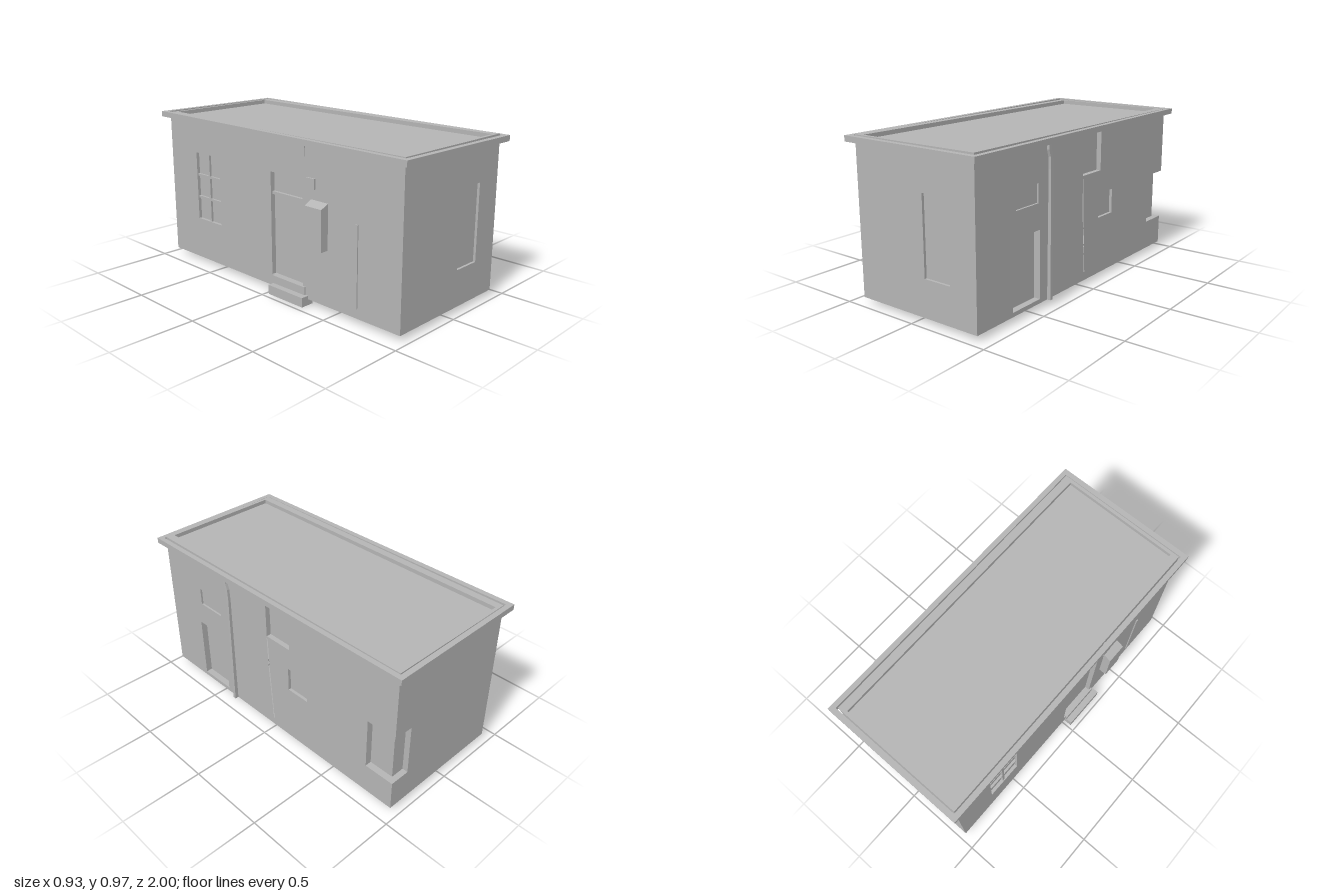
import * as THREE from 'three';

const plaster = new THREE.MeshStandardMaterial({ color: 0xb4b4b4, side: THREE.DoubleSide });
plaster.name = 'grey plaster';

// Wall faces and height limits
const LEFT = 0.425, RIGHT = -0.415, DEPTH = 0.96, BASE = 0.035, TOP = 0.935;

function add(parent, name, geo, x = 0, y = 0, z = 0) {
  const mesh = new THREE.Mesh(geo, plaster);
  mesh.name = name;
  mesh.position.set(x, y, z);
  parent.add(mesh);
  return mesh;
}

// Box given by its limits
function block(parent, name, x0, x1, y0, y1, z0, z1) {
  return add(parent, name, new THREE.BoxGeometry(x1 - x0, y1 - y0, z1 - z0),
    (x0 + x1) / 2, (y0 + y1) / 2, (z0 + z1) / 2);
}

const polygon = pts => new THREE.Shape(pts.map(p => new THREE.Vector2(...p)));
const rect = (a, b, c, d) => [[a, c], [b, c], [b, d], [a, d]];

// Wall sheet in its own frame: u across, v up, outward +z.
// Each recess is [name, u0, u1, v0, v1, depth]; slits are cut right through.
function wall(parent, name, outline, recesses, slits = []) {
  const group = new THREE.Group();
  group.name = name;
  parent.add(group);
  const shape = polygon(outline);
  for (const pts of slits) shape.holes.push(polygon(pts));
  for (const [part, u0, u1, v0, v1, d] of recesses) {
    shape.holes.push(polygon(rect(u0, u1, v0, v1)));
    const geo = new THREE.BoxGeometry(u1 - u0, v1 - v0, d);
    const index = Array.from(geo.index.array);
    index.splice(24, 6); // leave the outer side open
    geo.setIndex(index);
    geo.clearGroups();
    add(group, part, geo, (u0 + u1) / 2, (v0 + v1) / 2, -d / 2);
  }
  add(group, name + 'Sheet', new THREE.ShapeGeometry(shape));
  return group;
}

// Rectangular ring lying flat, from y0 to y1
function ring(parent, name, outer, inner, y0, y1) {
  const shape = polygon(rect(...outer));
  shape.holes.push(polygon(rect(...inner)));
  const geo = new THREE.ExtrudeGeometry(shape, { depth: y1 - y0, bevelEnabled: false });
  geo.rotateX(-Math.PI / 2).translate(0, y0, 0);
  return add(parent, name, geo);
}

function addCornerWindow(parent) {
  const y0 = 0.22, y1 = 0.54, h = y1 - y0, cy = (y0 + y1) / 2;
  const xi = 0.385, zi = -0.925, xe = 0.3, ze = -0.77;
  // Panes and end reveals
  const paneSide = add(parent, 'cornerWindowSidePane', new THREE.PlaneGeometry(ze - zi, h), xi, cy, (ze + zi) / 2);
  paneSide.rotation.y = Math.PI / 2;
  const paneBack = add(parent, 'cornerWindowBackPane', new THREE.PlaneGeometry(xi - xe, h), (xi + xe) / 2, cy, zi);
  paneBack.rotation.y = Math.PI;
  const sideReveal = add(parent, 'cornerWindowSideReveal', new THREE.PlaneGeometry(LEFT - xi, h), (LEFT + xi) / 2, cy, ze);
  sideReveal.rotation.y = Math.PI;
  const backReveal = add(parent, 'cornerWindowBackReveal', new THREE.PlaneGeometry(zi + DEPTH, h), xe, cy, (zi - DEPTH) / 2);
  backReveal.rotation.y = Math.PI / 2;
  // L-shaped sill and head
  const ell = polygon([[xe, DEPTH], [xe, -zi], [xi, -zi], [xi, -ze], [LEFT, -ze], [LEFT, DEPTH]]);
  for (const [name, y] of [['cornerWindowSill', y0], ['cornerWindowHead', y1]])
    add(parent, name, new THREE.ShapeGeometry(ell).rotateX(-Math.PI / 2), 0, y, 0);
}

export function createModel() {
  const model = new THREE.Group();
  model.name = 'house';

  // Front wall with tall shallow panel
  wall(model, 'frontWall', rect(RIGHT, LEFT, BASE, TOP),
    [['frontPanel', 0.07, 0.25, 0.255, 0.715, 0.015]]).position.z = DEPTH;

  // Back wall, notched for the corner window
  const back = wall(model, 'backWall', [[-LEFT, BASE], [-RIGHT, BASE], [-RIGHT, TOP], [-LEFT, TOP],
    [-LEFT, 0.54], [-0.3, 0.54], [-0.3, 0.22], [-LEFT, 0.22]], []);
  back.rotation.y = Math.PI;
  back.position.z = -DEPTH;

  // Left wall: u runs towards the back
  const left = wall(model, 'leftWall', [[-DEPTH, BASE], [DEPTH, BASE], [DEPTH, 0.22], [0.77, 0.22],
    [0.77, 0.54], [DEPTH, 0.54], [DEPTH, TOP], [-DEPTH, TOP]],
  [
    ['sideDoor', -0.675, -0.435, 0.06, 0.46, 0.04],
    ['sideDoorTransom', -0.645, -0.45, 0.61, 0.72, 0.012],
    ['highAlcove', -0.02, 0.17, 0.68, 0.92, 0.03],
    ['smallWindow', 0.155, 0.31, 0.39, 0.54, 0.018],
  ],
  [[[-0.022, 0.665], [-0.014, 0.66], [-0.008, 0.45], [0.014, 0.09], [0.009, 0.08], [-0.017, 0.45]]]);
  left.rotation.y = Math.PI / 2;
  left.position.x = LEFT;
  addCornerWindow(model);

  // Kinked drainpipe on the left wall
  const bend = [[-0.355, BASE], [-0.35, 0.78], [-0.354, 0.85], [-0.367, 0.89], [-0.367, 0.93]];
  const w = 0.011;
  const pipe = polygon([...bend.map(([u, v]) => [u + w, v]), ...bend.map(([u, v]) => [u - w, v]).reverse()]);
  const pipeGeo = new THREE.ExtrudeGeometry(pipe, { depth: 0.023, bevelEnabled: false });
  const pos = pipeGeo.attributes.position;
  for (let i = 0; i < pos.count; i++)
    if (pos.getZ(i) > 0.01) pos.setZ(i, 0.023 - 0.008 * pos.getY(i));
  pipeGeo.computeVertexNormals();
  add(left, 'drainpipe', pipeGeo);

  // Right wall: u runs towards the front
  const right = wall(model, 'rightWall', rect(-DEPTH, DEPTH, BASE, TOP), [
    ['paneWindow', -0.7, -0.47, 0.3, 0.735, 0.02],
    ['mainDoor', 0, 0.26, 0.105, 0.73, 0.03],
  ]);
  right.rotation.y = -Math.PI / 2;
  right.position.x = RIGHT;

  // Window bars: two columns, three rows
  block(right, 'windowUpright', -0.592, -0.578, 0.3, 0.735, -0.02, -0.006);
  for (const v of [0.445, 0.59])
    block(right, 'windowCrossbar', -0.7, -0.47, v - 0.007, v + 0.007, -0.02, -0.006);
  block(right, 'doorTransomBar', 0, 0.26, 0.595, 0.612, -0.03, -0.012);

  // Steps below the main door
  block(model, 'lowerStep', -0.465, -0.38, 0, 0.057, 0.02, 0.3);
  block(model, 'upperStep', -0.426, -0.385, 0.057, 0.105, 0.02, 0.28);

  // Meter cabinet with sloping top
  const cabinet = polygon([[-0.465, 0.365], [RIGHT, 0.365], [RIGHT, 0.63], [-0.465, 0.605]]);
  add(model, 'meterCabinet', new THREE.ExtrudeGeometry(cabinet, { depth: 0.125, bevelEnabled: false }), 0, 0, 0.327);

  // Small wall fittings
  block(model, 'junctionBox', -0.426, RIGHT, 0.69, 0.75, 0.295, 0.36);
  block(model, 'upperBracket', -0.421, RIGHT, 0.86, 0.93, 0.268, 0.282);
  block(model, 'wallStrip', -0.422, RIGHT, 0.09, 0.56, 0.655, 0.67);

  // Flat roof inside a low parapet
  const deck = add(model, 'roofDeck', new THREE.PlaneGeometry(0.84, 1.92), 0.005, 0.937, 0);
  deck.rotation.x = -Math.PI / 2;
  ring(model, 'parapet', [RIGHT, LEFT, -DEPTH, DEPTH], [-0.37, 0.375, -0.94, 0.94], 0.93, 0.962);

  // Overhanging cornice, slightly out of level
  const cornice = ring(model, 'cornice', [-0.455, 0.463, -1, 1], [-0.423, 0.433, -0.968, 0.968], 0.927, 0.961);
  const c = cornice.geometry.attributes.position;
  for (let i = 0; i < c.count; i++)
    c.setY(i, c.getY(i) - 0.005 * c.getZ(i) - 0.006 * c.getX(i));
  cornice.geometry.computeVertexNormals();

  return model;
}
